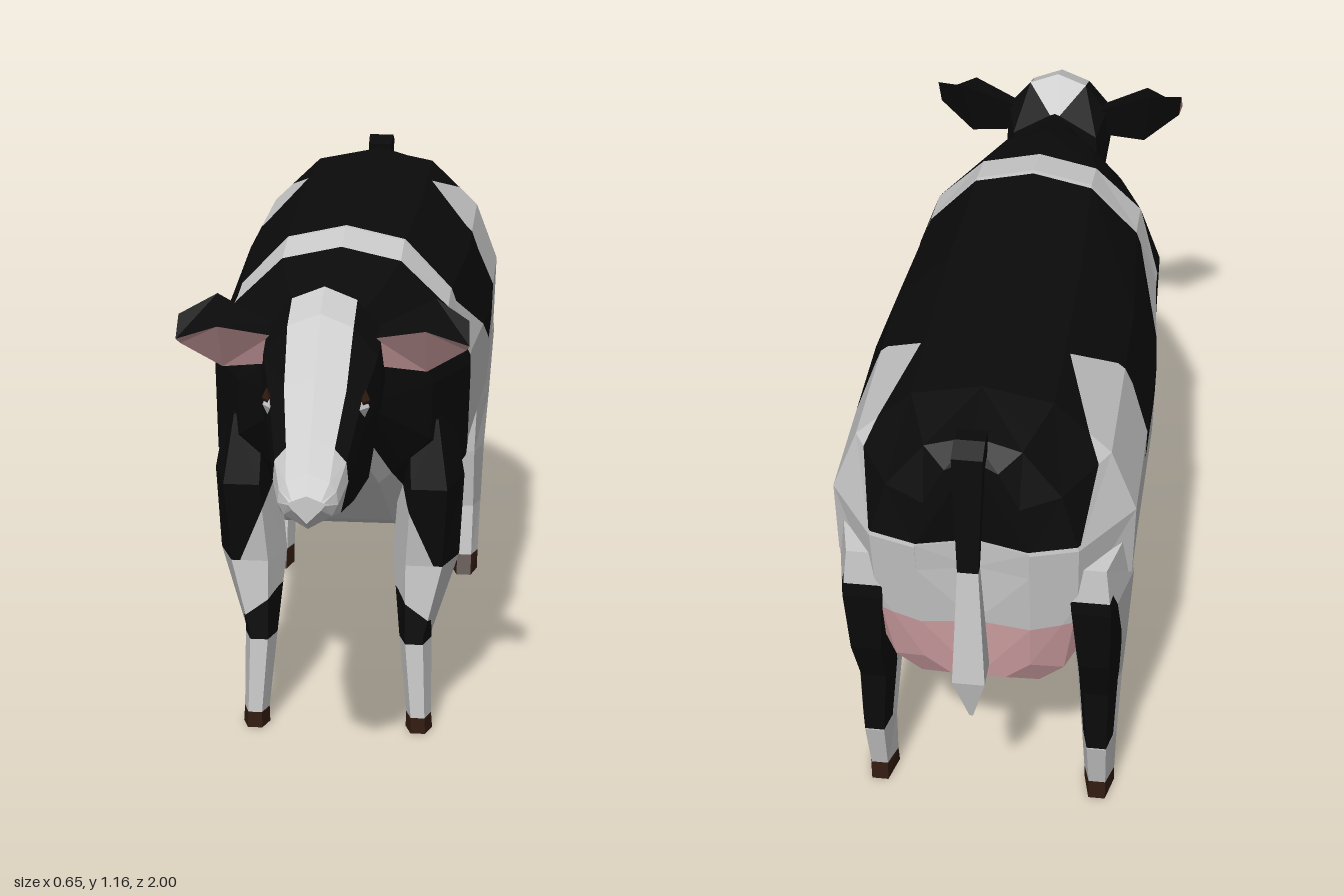
import * as THREE from 'three';

const WHITE = 0xcccccc, BLACK = 0x0b0b0b, PINK = 0xd0a0a3, BROWN = 0x331c10;
const V = (x, y, z) => new THREE.Vector3(x, y, z);

// Skin a list of rings with facets { pts, color }; colorAt gets the ring and strip index
function loft(rings, closed, colorAt) {
  const facets = [], n = rings[0].length, last = rings.length - 1;
  for (let i = 0; i < last; i++) {
    for (let j = 0; j < (closed ? n : n - 1); j++) {
      const k = (j + 1) % n, a = rings[i][j], b = rings[i][k], c = rings[i + 1][j], d = rings[i + 1][k];
      const color = colorAt(i, j);
      facets.push({ pts: [a, b, d], color }, { pts: [a, d, c], color });
    }
  }
  facets.push({ pts: [...rings[0]].reverse(), color: colorAt(0, 0) });
  facets.push({ pts: rings[last], color: colorAt(last - 1, n - 2) });
  return facets;
}

// Cut a convex polygon by a line, returning the inner and outer pieces
function split(pts, dist) {
  const inner = [], outer = [];
  pts.forEach((p, i) => {
    const q = pts[(i + 1) % pts.length], dp = dist(p), dq = dist(q);
    (dp >= 0 ? inner : outer).push(p);
    if ((dp >= 0) !== (dq >= 0)) {
      const m = p.clone().lerp(q, dp / (dp - dq));
      inner.push(m);
      outer.push(m);
    }
  });
  return [inner, outer];
}

// Recolour the part of the facets inside a convex outline of (axis, y) points
function paint(facets, axis, outline, color, where = () => true) {
  const edges = outline.map((p, i) => [...p, ...outline[(i + 1) % outline.length]]);
  const sign = Math.sign(edges.reduce((s, [a, b, c, d]) => s + a * d - b * c, 0));
  const result = [];
  for (const f of facets) {
    const mid = f.pts.reduce((s, p) => s.add(p), V(0, 0, 0)).divideScalar(f.pts.length);
    if (!where(mid)) { result.push(f); continue; }
    let rest = f.pts;
    for (const [a, b, c, d] of edges) {
      const [inner, outer] = split(rest, p => sign * ((c - a) * (p.y - b) - (d - b) * (p[axis] - a)));
      if (outer.length > 2) result.push({ pts: outer, color: f.color });
      rest = inner;
    }
    if (rest.length > 2) result.push({ pts: rest, color });
  }
  return result;
}

// Mirror the facets across x and make one mesh per colour
function build(name, facets) {
  const group = new THREE.Group(), sets = new Map();
  group.name = name;
  for (const { pts, color } of facets) {
    if (!sets.has(color)) sets.set(color, []);
    const out = sets.get(color);
    for (let i = 1; i + 1 < pts.length; i++) {
      const t = [pts[0], pts[i], pts[i + 1]];
      t.forEach(p => out.push(p.x, p.y, p.z));
      t.reverse().forEach(p => out.push(-p.x, p.y, p.z));
    }
  }
  const label = { [WHITE]: 'White', [BLACK]: 'Black', [PINK]: 'Pink', [BROWN]: 'Brown' };
  for (const [color, pos] of sets) {
    const geo = new THREE.BufferGeometry();
    geo.setAttribute('position', new THREE.Float32BufferAttribute(pos, 3));
    geo.computeVertexNormals();
    const mesh = new THREE.Mesh(geo, new THREE.MeshStandardMaterial({ color, flatShading: true }));
    mesh.name = name + label[color];
    group.add(mesh);
  }
  return group;
}

// Shoulder patch shared by the body and the front legs, pale on the inside
function paintShoulder(f) {
  f = paint(f, 'z', [[0.24, 1.2], [0.24, 1], [0.7, 1], [0.7, 1.2]], BLACK);
  f = paint(f, 'z', [[0.24, 1], [0.14, 0.81], [0.18, 0.64], [0.29, 0.42], [0.7, 0.42], [0.7, 1]], BLACK);
  return paint(f, 'x', [[-0.01, 0.765], [0.085, 0.765], [0.225, 0.42], [-0.01, 0.42]], WHITE, m => m.z > 0);
}

// Half section of the body; the rump leans forward below its widest height
function bodyRing([z, top, w, side, belly, bottom]) {
  const wide = 0.87;
  const lean = y => (z > -0.8 ? 0 : y < wide ? 0.16 * (wide - y) : 0.06 * (y - wide));
  return [
    [0, top], [0.46 * w, top - 0.03], [0.83 * w, (top + wide) / 2], [w, wide],
    [0.985 * w, side], [belly + 0.055, bottom + 0.05], [belly, bottom], [0, bottom],
  ].map(([x, y]) => V(x, y, z + lean(y)));
}

function body() {
  // z, top, half width, lower side height, belly half width, bottom
  let f = loft([
    [0.62, 1.05, 0.08, 0.87, 0.02, 0.81],
    [0.52, 1.075, 0.105, 0.84, 0.05, 0.765],
    [0.4, 1.11, 0.22, 0.74, 0.1, 0.63],
    [0.24, 1.14, 0.295, 0.65, 0.12, 0.48],
    [0.13, 1.16, 0.295, 0.655, 0.15, 0.43],
    [-0.22, 1.16, 0.325, 0.69, 0.17, 0.43],
    [-0.32, 1.16, 0.325, 0.695, 0.17, 0.4],
    [-0.6, 1.16, 0.325, 0.71, 0.15, 0.38],
    [-0.74, 1.16, 0.325, 0.7, 0.14, 0.41],
    [-0.895, 1.135, 0.22, 0.7, 0.13, 0.44],
    [-0.925, 1.1, 0.12, 0.7, 0.06, 0.47],
  ].map(bodyRing), false, () => WHITE);
  f = paintShoulder(f);
  // Saddle and rump, with the pale hip patch cut out of them
  f = paint(f, 'z', [[0.115, 1.2], [0.115, 0.985], [-0.25, 0.785], [-0.465, 0.79], [-0.465, 1.2]], BLACK);
  f = paint(f, 'z', [[-0.465, 0.88], [-1, 0.88], [-1, 1.2], [-0.465, 1.2]], BLACK);
  f = paint(f, 'z', [[-0.545, 1.12], [-0.44, 1.03], [-0.43, 0.97], [-0.465, 0.875], [-0.89, 0.875], [-0.74, 1.06]], WHITE);
  // Udder
  f = paint(f, 'z', [[-0.4, 0.7], [-0.22, 0.53], [-0.22, 0.47], [-0.33, 0.3], [-0.95, 0.3], [-0.95, 0.62], [-0.585, 0.71]], PINK);
  return build('body', f);
}

// Half section of the head: crown, blaze edge, temple, cheek, jaw, chin
function headRing([z, top, blaze, w, cheek, chin]) {
  const brow = top - 0.4 * blaze;
  return [
    [0, top], [blaze, brow], [0.95 * w, cheek + 0.6 * (brow - cheek)], [w, cheek], [0.8 * w, chin + 0.03], [0, chin],
  ].map(([x, y]) => V(x, y, z));
}

// z, top, blaze half width, half width, cheek height, chin
const head = () => build('head', loft([
  [1, 0.815, 0.03, 0.037, 0.795, 0.755],
  [0.975, 0.855, 0.045, 0.062, 0.79, 0.735],
  [0.92, 0.91, 0.05, 0.078, 0.82, 0.722],
  [0.82, 1.01, 0.065, 0.1, 0.9, 0.712],
  [0.71, 1.115, 0.07, 0.128, 0.93, 0.725],
  [0.62, 1.15, 0.07, 0.13, 0.95, 0.75],
  [0.55, 1.075, 0.012, 0.11, 0.93, 0.78],
].map(headRing), false, (i, j) => (i < 2 || j === 0 ? WHITE : BLACK)));

function eyes() {
  const group = new THREE.Group();
  group.name = 'eyes';
  for (const s of [1, -1]) {
    for (const [name, color, r, x, y] of [['eyeWhite', WHITE, 0.027, 0.1, 0.945], ['iris', BROWN, 0.022, 0.103, 0.96]]) {
      const mesh = new THREE.Mesh(new THREE.OctahedronGeometry(r), new THREE.MeshStandardMaterial({ color, flatShading: true }));
      mesh.name = name;
      mesh.scale.x = 0.45;
      mesh.rotation.y = -s * 0.25;
      mesh.position.set(s * x, y, 0.805);
      group.add(mesh);
    }
  }
  return group;
}

// Ear sections: back crest, front edge, lower edge
const ears = () => build('ears', loft([
  [V(0.11, 1.06, 0.61), V(0.11, 1.05, 0.66), V(0.11, 0.98, 0.63)],
  [V(0.235, 1.12, 0.585), V(0.22, 1.08, 0.705), V(0.22, 0.97, 0.63)],
  [V(0.31, 1.09, 0.65), V(0.312, 1.045, 0.685), V(0.305, 1.03, 0.665)],
], true, (i, j) => (j === 1 && i < 2 ? PINK : BLACK)));

// Six-sided leg from sections of y, x range and z range; the last span is the hoof
const leg = sections => loft(sections.map(([y, x0, x1, z0, z1]) =>
  [[1, 0.1], [0.55, 1], [-0.55, 1], [-1, 0.1], [-0.55, -1], [0.55, -1]].map(([a, b]) =>
    V((x0 + x1 + a * (x1 - x0)) / 2, y, (z0 + z1 + b * (z1 - z0)) / 2))),
true, i => (i === sections.length - 2 ? BROWN : WHITE));

function frontLegs() {
  const f = paintShoulder(leg([
    [0.78, 0.14, 0.26, 0.16, 0.38], [0.62, 0.14, 0.29, 0.15, 0.41], [0.42, 0.125, 0.28, 0.18, 0.375],
    [0.24, 0.143, 0.22, 0.265, 0.382], [0.04, 0.163, 0.222, 0.303, 0.39], [0, 0.162, 0.225, 0.3, 0.39],
  ]));
  // Dark knee mark
  return build('frontLegs', paint(f, 'x', [[0.1, 0.35], [0.14, 0.34], [0.22, 0.28], [0.22, 0.225], [0.1, 0.225]],
    BLACK, m => m.z > 0.31));
}

function backLegs() {
  const f = leg([
    [0.8, 0.16, 0.31, -0.87, -0.61], [0.68, 0.17, 0.323, -0.875, -0.585], [0.5, 0.19, 0.312, -0.84, -0.6],
    [0.36, 0.2, 0.302, -0.775, -0.615], [0.19, 0.215, 0.295, -0.775, -0.65], [0.05, 0.22, 0.29, -0.737, -0.64],
    [0, 0.22, 0.29, -0.74, -0.615],
  ]);
  // Dark stripe down the back of the thigh
  return build('backLegs', paint(f, 'z',
    [[-0.85, 0.72], [-0.765, 0.55], [-0.715, 0.36], [-0.73, 0.2], [-0.8, 0.19], [-0.92, 0.7]], BLACK));
}

// Tail sections: half width, outer (z, y), inner (z, y)
const tail = () => build('tail', loft([
  [0.03, -0.87, 1.145, -0.88, 1.09], [0.032, -0.925, 1.16, -0.915, 1.11], [0.032, -0.965, 1.14, -0.935, 1.1],
  [0.022, -0.98, 0.86, -0.955, 0.86], [0.035, -1, 0.57, -0.93, 0.57], [0.004, -0.968, 0.45, -0.962, 0.45],
].map(([w, oz, oy, iz, iy]) => [V(0, oy, oz), V(w, oy, oz), V(w, iy, iz), V(0, iy, iz)]), false,
i => (i < 3 ? BLACK : WHITE)));

export function createModel() {
  const model = new THREE.Group();
  model.name = 'cow';
  model.add(body(), head(), eyes(), ears(), frontLegs(), backLegs(), tail());
  return model;
}
